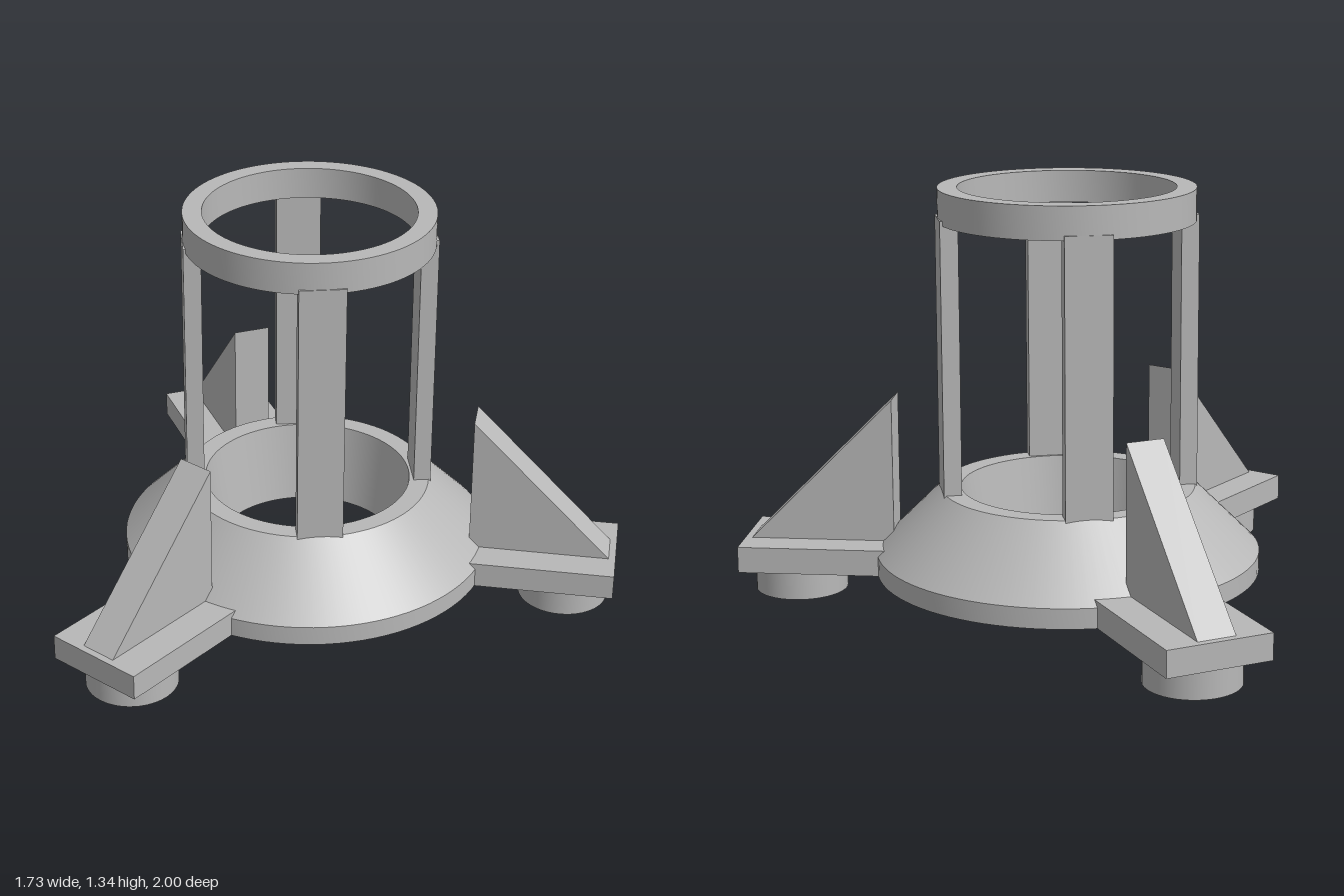
import * as THREE from 'three';
import { toCreasedNormals } from 'three/addons/utils/BufferGeometryUtils.js';

const AXIS_X = 0.187; // the round body sits off-centre, balanced by the arm on -x

export function createModel() {
  const model = new THREE.Group();
  model.name = 'threeFootedStand';
  const grey = new THREE.MeshStandardMaterial({ color: 0xb8b8b8 });
  grey.name = 'plain grey';

  const body = new THREE.Group();
  body.name = 'body';
  body.position.x = AXIS_X;
  model.add(body);

  const add = (parent, name, geometry, x = 0, y = 0, z = 0) => {
    const mesh = new THREE.Mesh(geometry, grey);
    mesh.name = name;
    mesh.position.set(x, y, z);
    parent.add(mesh);
    return mesh;
  };

  // Closed profile (outside going up, inside going down) spun with sharp edges
  const spin = (profile) => {
    const points = [...profile, profile[0]].map(([r, y]) => new THREE.Vector2(r, y));
    return toCreasedNormals(new THREE.LatheGeometry(points, 96), 0.4);
  };

  // Conical base with a slightly tapered hole, and the upper ring
  add(body, 'conicalBase', spin([[0.305, 0.095], [0.62, 0.095], [0.62, 0.16], [0.41, 0.37], [0.345, 0.37]]));
  add(body, 'topRing', spin([[0.345, 1.235], [0.408, 1.235], [0.408, 1.34], [0.345, 1.34]]));

  // Four upright posts on the diagonals
  for (let i = 0; i < 4; i++) {
    const holder = new THREE.Group();
    holder.name = 'post' + (i + 1);
    holder.rotation.y = Math.PI / 4 + (i * Math.PI) / 2;
    add(holder, 'postBar', new THREE.BoxGeometry(0.057, 0.89, 0.149), 0.3815, 0.805, 0);
    body.add(holder);
  }

  // Triangular gusset
  const triangle = new THREE.Shape([
    new THREE.Vector2(0.562, 0.17),
    new THREE.Vector2(1.04, 0.17),
    new THREE.Vector2(0.562, 0.65),
  ]);
  const gusset = new THREE.ExtrudeGeometry(triangle, { depth: 0.125, bevelEnabled: false });
  gusset.translate(0, 0, -0.0625);

  // Three arms, each with a plate, a gusset and a round foot
  for (let i = 0; i < 3; i++) {
    const arm = new THREE.Group();
    arm.name = 'arm' + (i + 1);
    arm.rotation.y = Math.PI / 3 + (i * 2 * Math.PI) / 3;
    add(arm, 'armPlate', new THREE.BoxGeometry(0.603, 0.085, 0.345), 0.7515, 0.1375, 0);
    add(arm, 'gusset', gusset);
    add(arm, 'foot', new THREE.CylinderGeometry(0.15, 0.15, 0.1, 48), 0.882, 0.05, 0);
    body.add(arm);
  }
  return model;
}
